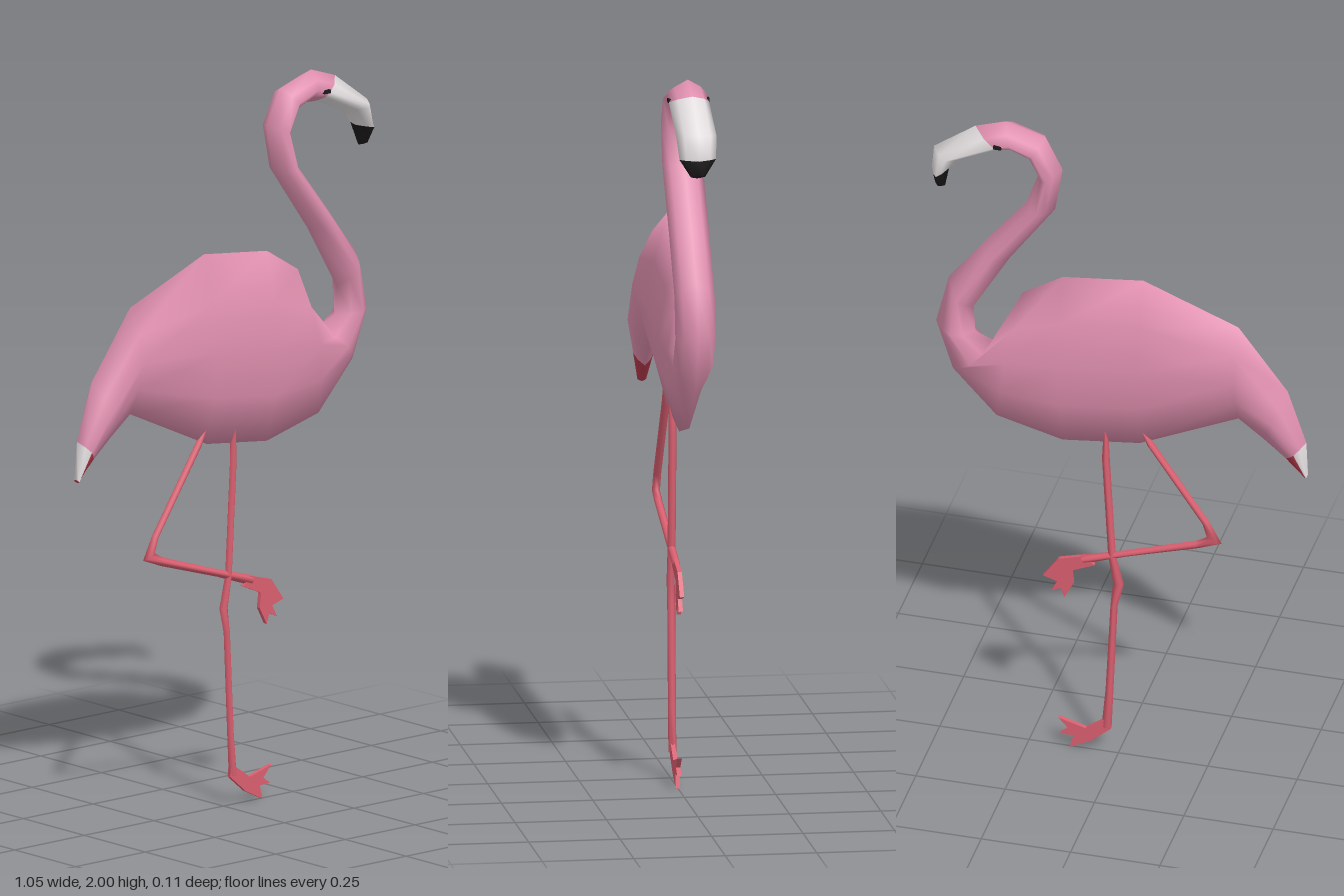
import * as THREE from 'three';

const mat = (name, color) => {
  const m = new THREE.MeshStandardMaterial({ color });
  m.name = name;
  return m;
};

// Loft of rounded-diamond rings. Section: [upperX, upperY, lowerX, lowerY, halfDepth, midX?, midY?]
// pick(segment, side) gives the material index of a face.
function loft(sections, materials, pick = () => 0) {
  const N = 8, pos = [], lists = materials.map(() => []);
  for (const [ux, uy, lx, ly, d, mx = (ux + lx) / 2, my = (uy + ly) / 2] of sections) {
    const half = [
      [ux, uy, 0], [(ux + mx) / 2, (uy + my) / 2, d * 0.66], [mx, my, d],
      [(mx + lx) / 2, (my + ly) / 2, d * 0.66], [lx, ly, 0],
    ];
    half.forEach(p => pos.push(...p));
    for (let k = 3; k > 0; k--) pos.push(half[k][0], half[k][1], -half[k][2]);
  }
  const last = sections.length - 1;
  for (let i = 0; i < last; i++) {
    for (let k = 0; k < N; k++) {
      const a = i * N + k, b = i * N + (k + 1) % N, c = a + N, e = b + N;
      lists[pick(i, k)].push(a, b, c, b, e, c);
    }
  }
  // End caps
  for (let k = 1; k < N - 1; k++) {
    lists[pick(0, k)].push(0, k + 1, k);
    lists[pick(last - 1, k)].push(last * N, last * N + k, last * N + k + 1);
  }
  const g = new THREE.BufferGeometry();
  g.setAttribute('position', new THREE.Float32BufferAttribute(pos, 3));
  g.setIndex(lists.flat());
  let start = 0;
  lists.forEach((l, i) => { g.addGroup(start, l.length, i); start += l.length; });
  g.computeVertexNormals();
  return new THREE.Mesh(g, materials);
}

// Thin limb along a centreline of [x, y, halfWidth]
function limb(points, depth, material) {
  const sections = points.map(([x, y, w], i) => {
    const p = points[Math.max(i - 1, 0)], q = points[Math.min(i + 1, points.length - 1)];
    const len = Math.hypot(q[0] - p[0], q[1] - p[1]);
    const nx = -(q[1] - p[1]) / len * w, ny = (q[0] - p[0]) / len * w;
    return [x + nx, y + ny, x - nx, y - ny, depth];
  });
  return loft(sections, [material]);
}

// Flat webbed foot from an outline
function foot(outline, material) {
  const shape = new THREE.Shape(outline.map(([x, y]) => new THREE.Vector2(x, y)));
  const g = new THREE.ExtrudeGeometry(shape, { depth: 0.012, bevelEnabled: false });
  g.translate(0, 0, -0.006);
  return new THREE.Mesh(g, material);
}

export function createModel() {
  const group = new THREE.Group();
  const pink = mat('featherPink', 0xe291b0);
  const white = mat('beakWhite', 0xe4dfe0);
  const black = mat('beakBlack', 0x1c1a1b);
  const coral = mat('legCoral', 0xdb5f70);
  const red = mat('tailRed', 0xb83a4c);
  const add = (name, mesh) => { mesh.name = name; group.add(mesh); return mesh; };

  // Tail, body, neck, head and beak in one sweep
  const sections = [
    [-0.53, 0.995, -0.525, 0.985, 0.012],
    [-0.526, 1.10, -0.468, 1.04, 0.028],
    [-0.474, 1.257, -0.405, 1.093, 0.052],
    [-0.336, 1.442, -0.336, 1.146, 0.055],
    [-0.07, 1.548, -0.06, 1.018, 0.055],
    [0.156, 1.521, 0.156, 0.992, 0.055],
    [0.267, 1.452, 0.341, 1.04, 0.055],
    [0.341, 1.278, 0.463, 1.172, 0.055],
    [0.40, 1.304, 0.51, 1.32, 0.055],
    [0.405, 1.384, 0.474, 1.468, 0.055],
    [0.304, 1.558, 0.378, 1.595, 0.055],
    [0.177, 1.738, 0.257, 1.749, 0.055],
    [0.156, 1.87, 0.225, 1.839, 0.055],
    [0.204, 1.966, 0.251, 1.895, 0.055],
    [0.315, 2.0, 0.288, 1.912, 0.055, 0.295, 1.955],
    [0.40, 1.971, 0.335, 1.91, 0.055, 0.335, 1.943],
    [0.516, 1.886, 0.426, 1.868, 0.055],
    [0.522, 1.817, 0.474, 1.82, 0.05],
    [0.515, 1.778, 0.485, 1.763, 0.02],
  ];
  add('bodyNeckAndHead', loft(sections, [pink, white, black, red], (i, k) => {
    if (i === 0) return k > 1 && k < 6 ? 3 : 1;
    if (i === 17) return 2;
    return i >= 15 ? 1 : 0;
  }));

  // Eyes
  for (const s of [1, -1]) {
    const eye = add(s > 0 ? 'leftEye' : 'rightEye',
      new THREE.Mesh(new THREE.BoxGeometry(0.022, 0.01, 0.009), black));
    eye.position.set(0.325, 1.946, s * 0.052);
  }

  // Straight leg with knee bump, and folded leg
  add('standingLeg', limb([
    [0.035, 1.07, 0.005], [0.035, 0.95, 0.011], [0.018, 0.64, 0.011], [0.0, 0.55, 0.015],
    [0.012, 0.48, 0.010], [0.025, 0.2, 0.011], [0.033, 0.08, 0.014],
  ], 0.011, coral));
  add('foldedLeg', limb([
    [-0.065, 1.07, 0.005], [-0.09, 1.02, 0.011], [-0.245, 0.79, 0.011], [-0.268, 0.737, 0.022],
    [-0.22, 0.716, 0.012], [-0.02, 0.652, 0.010], [0.10, 0.613, 0.014],
  ], 0.011, coral));

  // Webbed feet
  add('standingFoot', foot([
    [0.024, 0.115], [0.02, 0.078], [0.075, 0.03], [0.135, 0], [0.125, 0.038],
    [0.162, 0.04], [0.138, 0.058], [0.167, 0.09], [0.09, 0.068],
  ], coral));
  add('foldedFoot', foot([
    [0.093, 0.627], [0.066, 0.602], [0.13, 0.574], [0.125, 0.532], [0.15, 0.484],
    [0.16, 0.512], [0.187, 0.50], [0.17, 0.532], [0.21, 0.545], [0.167, 0.606],
  ], coral));

  return group;
}
